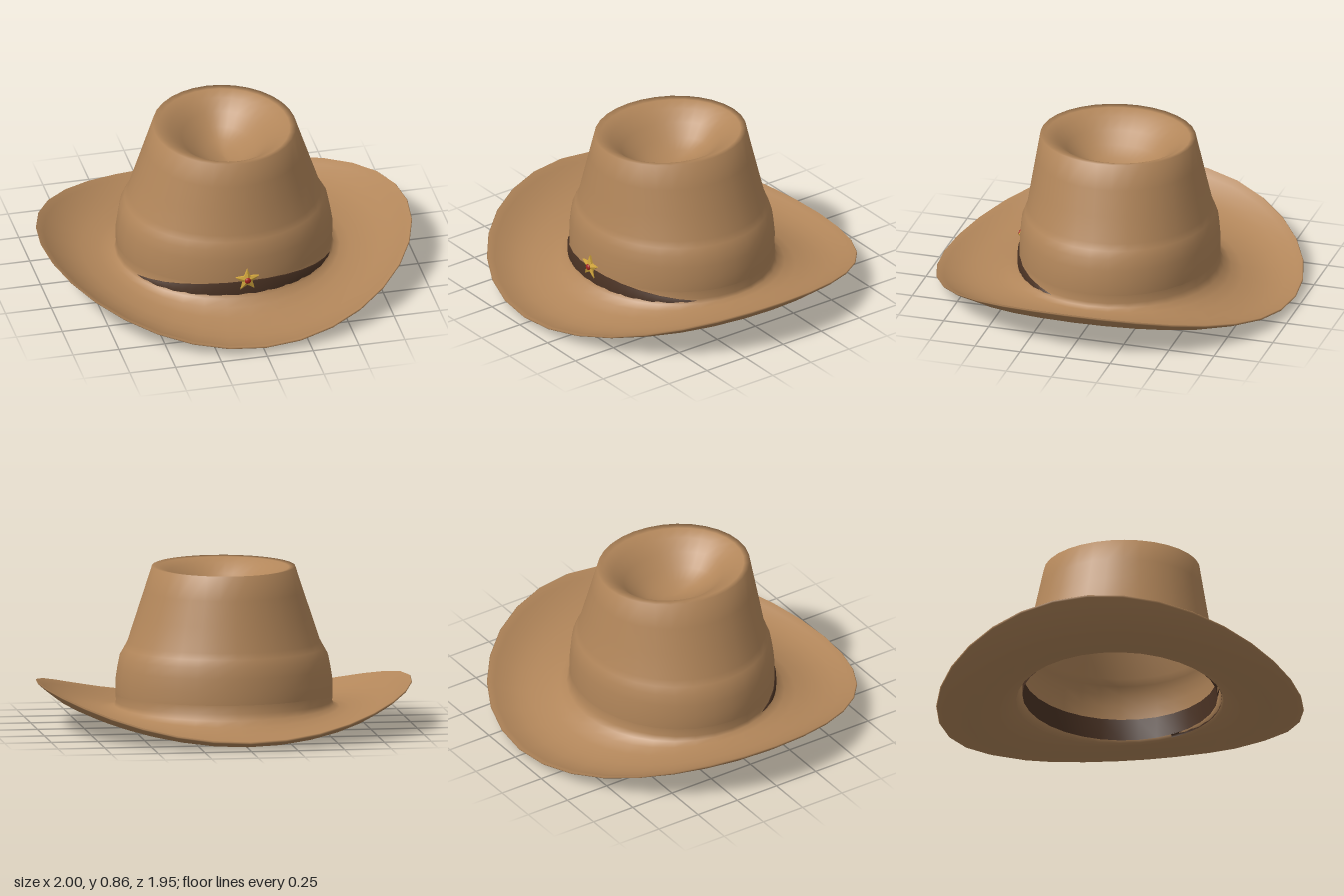
import * as THREE from 'three';

const SIDES = 32;
const mat = (color) => new THREE.MeshStandardMaterial({ color, roughness: 0.85, side: THREE.DoubleSide });

// Skin a stack of oval rings: [x radius, z radius, height at front/back, height at sides, z centre]
function skinRings(rings, name, material) {
  const pos = [], index = [];
  for (const [rx, rz, yFront, ySide = yFront, cz = 0] of rings) {
    for (let j = 0; j < SIDES; j++) {
      const a = (j / SIDES) * Math.PI * 2, s = Math.sin(a);
      pos.push(rx * s, yFront + (ySide - yFront) * s * s, rz * Math.cos(a) + cz);
    }
  }
  for (let i = 0; i < rings.length - 1; i++) {
    for (let j = 0; j < SIDES; j++) {
      const k = (j + 1) % SIDES, a = i * SIDES, b = a + SIDES;
      index.push(a + j, a + k, b + k, a + j, b + k, b + j);
    }
  }
  const geo = new THREE.BufferGeometry();
  geo.setAttribute('position', new THREE.Float32BufferAttribute(pos, 3));
  geo.setIndex(index);
  geo.computeVertexNormals();
  const mesh = new THREE.Mesh(geo, material);
  mesh.name = name;
  return mesh;
}

// Thin crescent band lying on the front of the crown
function frontBand(material) {
  const pos = [], index = [], n = 28;
  for (let i = 0; i <= n; i++) {
    const u = (i / n) * 2 - 1, a = u * 1.22;
    const out = 0.009 * (1 - u ** 4);
    const x = (0.577 + out) * Math.sin(a), z = (0.53 + out) * Math.cos(a);
    const top = 0.122 + 0.07 * (1 - (Math.sin(a) / Math.sin(1.22)) ** 2);
    pos.push(x, 0.11, z, x, top, z, x * 0.97, top, z * 0.97);
    if (i < n) {
      for (let k = 0; k < 2; k++) {
        const p = i * 3 + k;
        index.push(p, p + 3, p + 4, p, p + 4, p + 1);
      }
    }
  }
  const geo = new THREE.BufferGeometry();
  geo.setAttribute('position', new THREE.Float32BufferAttribute(pos, 3));
  geo.setIndex(index);
  geo.computeVertexNormals();
  const mesh = new THREE.Mesh(geo, material);
  mesh.name = 'frontBand';
  return mesh;
}

// Five-pointed badge with a raised centre and a round stud
function starBadge() {
  const group = new THREE.Group();
  group.name = 'starBadge';
  const rim = [], pos = [];
  for (let i = 0; i < 10; i++) {
    const r = i % 2 ? 0.029 : 0.066, a = Math.PI / 2 + (i * Math.PI) / 5;
    rim.push([r * Math.cos(a), r * Math.sin(a)]);
  }
  rim.forEach(([x, y], i) => {
    const [x2, y2] = rim[(i + 1) % 10];
    pos.push(0, 0, 0.014, x, y, 0.003, x2, y2, 0.003); // facet
    pos.push(x, y, 0.003, x, y, -0.008, x2, y2, -0.008); // edge
    pos.push(x, y, 0.003, x2, y2, -0.008, x2, y2, 0.003);
    pos.push(0, 0, -0.008, x2, y2, -0.008, x, y, -0.008); // back
  });
  const geo = new THREE.BufferGeometry();
  geo.setAttribute('position', new THREE.Float32BufferAttribute(pos, 3));
  geo.computeVertexNormals();
  const star = new THREE.Mesh(geo, mat(0xd2a63c));
  star.name = 'star';
  const stud = new THREE.Mesh(new THREE.SphereGeometry(0.017, 16, 10), mat(0xa3231c));
  stud.name = 'stud';
  stud.scale.z = 0.6;
  stud.position.z = 0.011;
  group.add(star, stud);
  group.position.set(0, 0.205, 0.54);
  return group;
}

export function createModel() {
  const hat = new THREE.Group();
  hat.name = 'hat';
  const felt = mat(0xb2865a), leather = mat(0x4a3223);

  // Brim: top surface from crown fillet to rolled-up sides, dipping at front and back
  const top = [
    [0.577, 0.53, 0.18, 0.18],
    [0.576, 0.532, 0.135, 0.135],
    [0.585, 0.55, 0.1, 0.115],
    [0.615, 0.59, 0.068, 0.105],
    [0.67, 0.65, 0.038, 0.102],
    [0.76, 0.74, 0.018, 0.115],
    [0.83, 0.81, 0.012, 0.14],
    [0.9, 0.875, 0.018, 0.175],
    [0.96, 0.935, 0.034, 0.222],
    [0.995, 0.97, 0.046, 0.252],
  ];
  const under = top.slice(2).map(([rx, rz, f, s]) => [rx, rz, f - 0.012, s - 0.012]);
  const edge = [[1, 0.975, 0.04, 0.248]];
  hat.add(skinRings([...under, ...edge, ...top.reverse()], 'brim', felt));

  // Crown: bulging base, tapering wall, sharp top rim and an oval dent
  hat.add(skinRings([
    [0.577, 0.53, 0.18],
    [0.578, 0.53, 0.25],
    [0.567, 0.525, 0.32],
    [0.555, 0.518, 0.38],
    [0.532, 0.503, 0.42],
    [0.513, 0.49, 0.455],
    [0.468, 0.465, 0.59, 0.59, 0.004],
    [0.423, 0.44, 0.725, 0.725, 0.007],
    [0.38, 0.416, 0.855, 0.855, 0.01],
    [0.345, 0.385, 0.85, 0.85, 0.01],
    [0.29, 0.335, 0.825, 0.825, 0.01],
    [0.225, 0.28, 0.775, 0.775, 0.01],
    [0.16, 0.22, 0.715, 0.715, 0.01],
    [0.09, 0.15, 0.675, 0.675, 0.01],
    [0.03, 0.07, 0.657, 0.657, 0.01],
    [0.001, 0.001, 0.655, 0.655, 0.01],
  ], 'crown', felt));

  // Inner sweatband lining the opening
  hat.add(skinRings([
    [0.562, 0.517, 0.12],
    [0.562, 0.515, 0.24],
  ], 'sweatband', leather));

  hat.add(frontBand(leather), starBadge());
  return hat;
}
